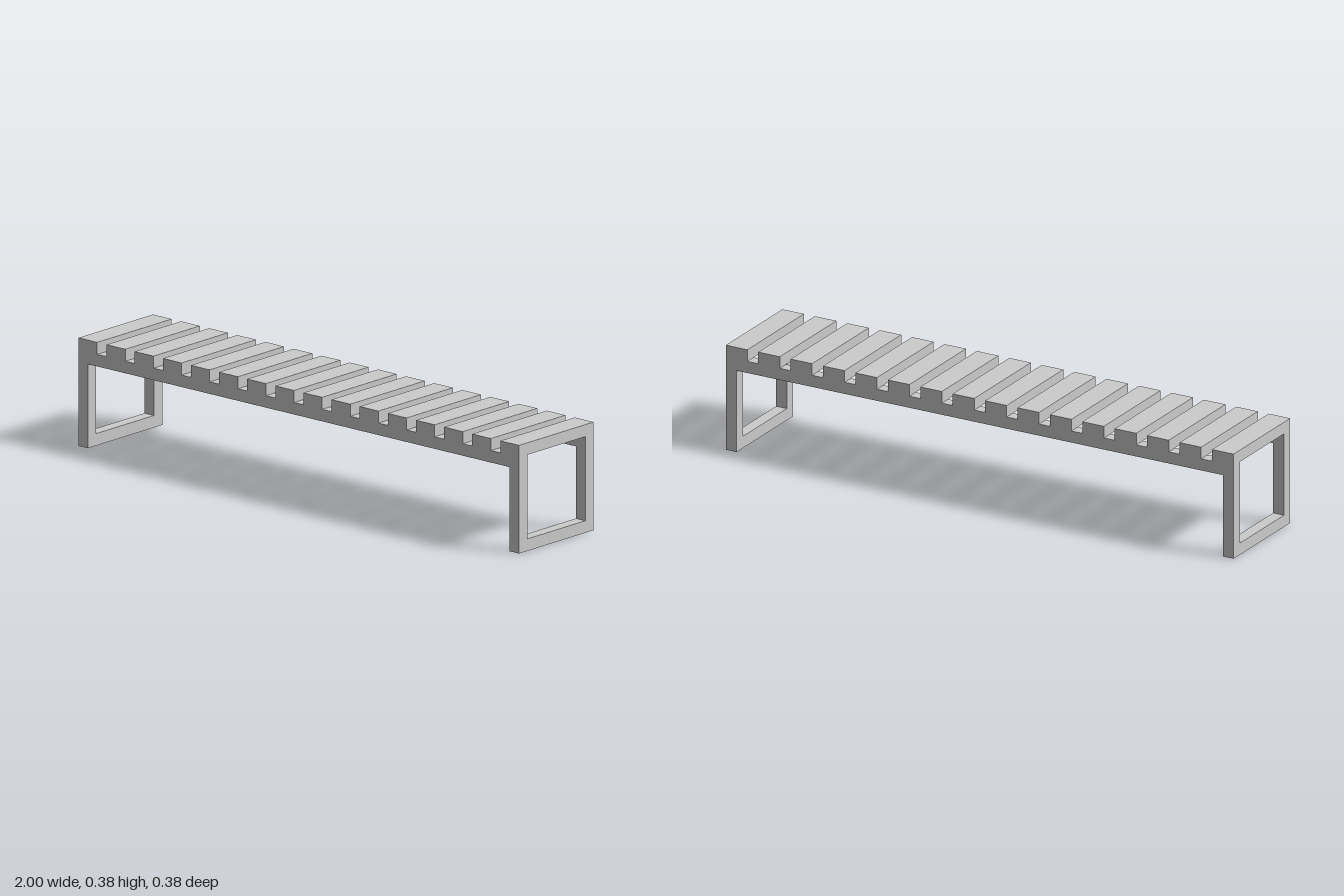
import * as THREE from 'three';

// Everything is a multiple of one bar thickness: 16 slats of 2 + 15 gaps of 1 = 47 bars long
const U = 2 / 47;
const LENGTH = 47, DEPTH = 9, HEIGHT = 9, SLATS = 16;

export function createModel() {
  const bench = new THREE.Group();
  bench.name = 'slattedBench';
  const material = new THREE.MeshStandardMaterial({ color: 0xcccccc, flatShading: true });

  // Box sized and centred in bar units, y measured at its underside
  function bar(name, w, h, d, x, y, z, parent = bench) {
    const mesh = new THREE.Mesh(new THREE.BoxGeometry(w * U, h * U, d * U), material);
    mesh.position.set(x * U, (y + h / 2) * U, z * U);
    mesh.name = name;
    parent.add(mesh);
  }

  // Seat slats
  const seat = new THREE.Group();
  seat.name = 'seat';
  bench.add(seat);
  for (let i = 0; i < SLATS; i++) {
    bar('slat', 2, 1, DEPTH, -LENGTH / 2 + 1 + i * 3, HEIGHT - 1, 0, seat);
  }

  // Long rails under the front and back edges, between the legs
  const railZ = (DEPTH - 1) / 2;
  bar('frontRail', LENGTH - 2, 1, 1, 0, HEIGHT - 2, railZ);
  bar('backRail', LENGTH - 2, 1, 1, 0, HEIGHT - 2, -railZ);

  // Square end frames: two legs and a floor bar, closed above by the end slat
  for (const side of [1, -1]) {
    const frame = new THREE.Group();
    frame.name = side > 0 ? 'leftLegFrame' : 'rightLegFrame';
    bench.add(frame);
    const x = side * (LENGTH - 1) / 2;
    bar('frontLeg', 1, HEIGHT - 1, 1, x, 0, railZ, frame);
    bar('backLeg', 1, HEIGHT - 1, 1, x, 0, -railZ, frame);
    bar('floorBar', 1, 1, DEPTH - 2, x, 0, 0, frame);
  }
  return bench;
}
